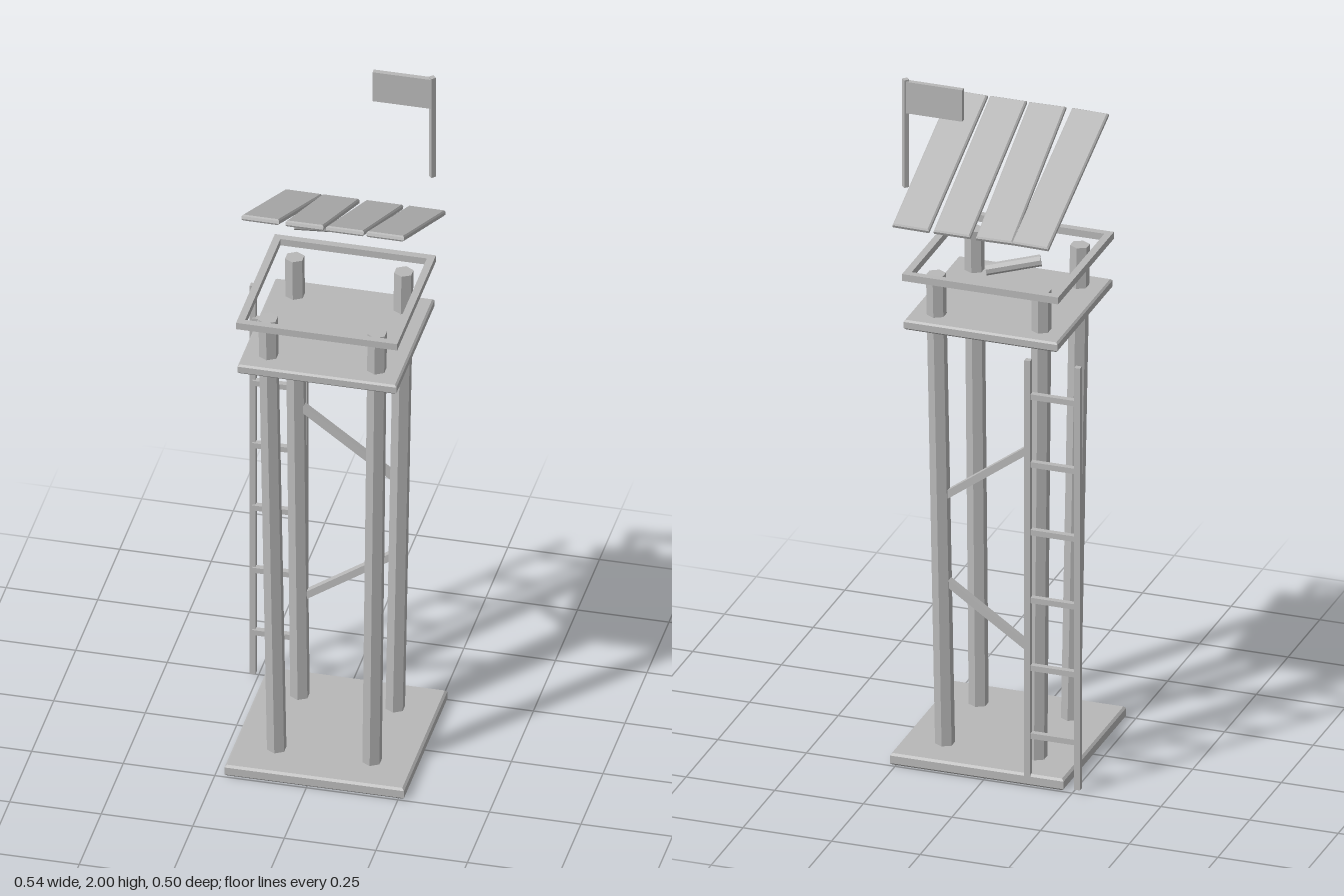
import * as THREE from 'three';

const grey = new THREE.MeshStandardMaterial({ color: 0xb8b8b8, flatShading: true });
grey.name = 'plain grey';

const CX = 0.021; // tower axis

function add(parent, name, geometry, x = 0, y = 0, z = 0) {
  const mesh = new THREE.Mesh(geometry, grey);
  mesh.name = name;
  mesh.position.set(x, y, z);
  parent.add(mesh);
  return mesh;
}

const box = (w, h, d) => new THREE.BoxGeometry(w, h, d);

// Flat slab (w by d, height h) with chamfered edges
function slab(w, h, d, b) {
  const x = w / 2 - b, z = d / 2 - b;
  const shape = new THREE.Shape([
    new THREE.Vector2(-x, -z), new THREE.Vector2(x, -z),
    new THREE.Vector2(x, z), new THREE.Vector2(-x, z),
  ]);
  const geometry = new THREE.ExtrudeGeometry(shape, {
    depth: h - 2 * b, bevelEnabled: true, bevelThickness: b, bevelSize: b, bevelSegments: 1,
  });
  geometry.translate(0, 0, b - h / 2);
  geometry.rotateX(-Math.PI / 2);
  return geometry;
}

// Lay a geometry whose length runs along y between two points
function between(parent, name, makeGeometry, a, b) {
  const start = new THREE.Vector3(...a), end = new THREE.Vector3(...b);
  const dir = end.clone().sub(start);
  const mesh = add(parent, name, makeGeometry(dir.length()));
  mesh.position.copy(start).add(end).multiplyScalar(0.5);
  mesh.quaternion.setFromUnitVectors(new THREE.Vector3(0, 1, 0), dir.normalize());
  return mesh;
}

export function createModel() {
  const tower = new THREE.Group();
  tower.name = 'watchtower';

  // Base and lookout deck
  add(tower, 'base', slab(0.49, 0.034, 0.494, 0.006), CX, 0.017, 0);
  add(tower, 'deck', slab(0.434, 0.028, 0.434, 0.005), CX, 1.28, 0);

  // Four hexagonal legs leaning outward, and the railing frame
  for (const sx of [-1, 1]) {
    for (const sz of [-1, 1]) {
      between(tower, 'leg', (l) => new THREE.CylinderGeometry(0.027, 0.027, l, 6),
        [CX + sx * 0.13, 0.02, sz * 0.132], [CX + sx * 0.149, 1.412, sz * 0.151]);
    }
    add(tower, 'sideRail', box(0.02, 0.02, 0.44), CX + sx * 0.21, 1.42, 0);
    add(tower, 'crossRail', box(0.44, 0.02, 0.02), CX, 1.42, sx * 0.21);
  }

  // Diagonal braces between the back legs
  for (const [y0, y1] of [[0.951, 0.757], [0.341, 0.522]]) {
    between(tower, 'brace', (l) => box(0.02, l, 0.02), [-0.11, y0, -0.14], [0.155, y1, -0.14]);
  }

  // Ladder at the back
  const ladder = new THREE.Group();
  ladder.name = 'ladder';
  tower.add(ladder);
  for (const x of [-0.263, -0.122]) add(ladder, 'ladderRail', box(0.016, 1.235, 0.016), x, 0.628, -0.241);
  for (let i = 0; i < 6; i++) {
    add(ladder, 'rung', box(0.141, 0.016, 0.016), -0.1925, 0.146 + i * 0.1985, -0.236);
  }

  // Sloping roof of four slightly crooked planks
  const roof = new THREE.Group();
  roof.name = 'roof';
  roof.position.set(0, 1.668, 0);
  roof.rotation.x = -0.428;
  tower.add(roof);
  for (const [x, turn] of [[-0.127, -0.022], [-0.016, 0.017], [0.099, -0.001], [0.212, -0.013]]) {
    add(roof, 'plank', slab(0.103, 0.016, 0.49, 0.004), x, 0, 0).rotation.y = turn;
  }

  // Loose log under the low edge of the roof
  between(tower, 'log', (l) => new THREE.CylinderGeometry(0.016, 0.016, l, 8),
    [-0.132, 1.506, -0.168], [0.004, 1.481, -0.222]);

  // Flag on a square pole
  add(tower, 'flagPole', new THREE.CylinderGeometry(0.01, 0.01, 0.315, 4), 0.233, 1.8425, -0.214);
  add(tower, 'flag', box(0.16, 0.092, 0.014), 0.151, 1.949, -0.214);

  return tower;
}
